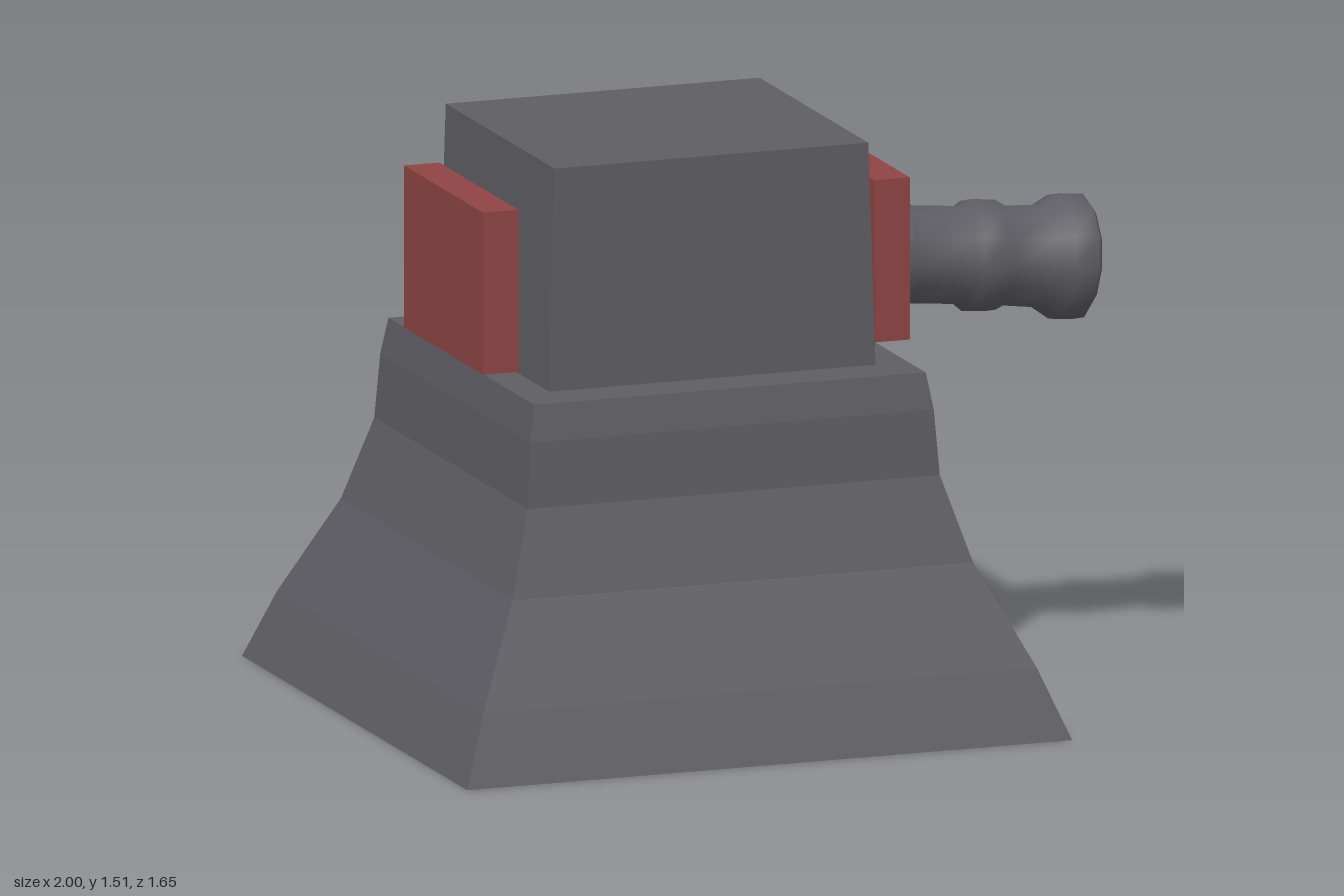
import * as THREE from 'three';

const grey = new THREE.MeshStandardMaterial({ color: 0x5d5d63 });
grey.name = 'stoneGrey';
const red = new THREE.MeshStandardMaterial({ color: 0x8e4444 });
red.name = 'dullRed';

const CENTRE_X = -0.175; // axis of the base and tower

// Flat-faced loft through rectangular sections [y, halfX, halfZ], capped at both ends
function rectLoft(sections) {
  const rings = sections.map(([y, a, b]) => [[-a, y, b], [a, y, b], [a, y, -b], [-a, y, -b]]);
  const pos = [];
  const quad = (a, b, c, d) => pos.push(...a, ...b, ...c, ...a, ...c, ...d);
  for (let i = 0; i < rings.length - 1; i++) {
    for (let k = 0; k < 4; k++) {
      const n = (k + 1) % 4;
      quad(rings[i][k], rings[i][n], rings[i + 1][n], rings[i + 1][k]);
    }
  }
  const top = rings[rings.length - 1];
  quad(top[0], top[1], top[2], top[3]);
  quad(rings[0][3], rings[0][2], rings[0][1], rings[0][0]);
  const geo = new THREE.BufferGeometry();
  geo.setAttribute('position', new THREE.Float32BufferAttribute(pos, 3));
  geo.computeVertexNormals();
  return geo;
}

export function createModel() {
  const model = new THREE.Group();
  model.name = 'cannonTurret';
  const add = (name, geo, mat, x, y, z = 0) => {
    const mesh = new THREE.Mesh(geo, mat);
    mesh.name = name;
    mesh.position.set(x, y, z);
    model.add(mesh);
    return mesh;
  };

  // Flared square pedestal
  const flare = [[0, 0.825], [0.18, 0.755], [0.44, 0.628], [0.66, 0.562], [0.83, 0.55], [0.925, 0.534]];
  add('pedestal', rectLoft(flare.map(([y, h]) => [y, h, h])), grey, CENTRE_X, 0);

  // Slightly tapered turret block
  add('turretBlock', rectLoft([[0.925, 0.445, 0.405], [1.507, 0.428, 0.398]]), grey, CENTRE_X, 0);

  // Side plates, standing clear of the block
  for (const [name, side] of [['leftPlate', 1], ['rightPlate', -1]]) {
    add(name, new THREE.BoxGeometry(0.096, 0.425, 0.58), red, CENTRE_X + side * 0.534, 1.168);
  }

  // Ringed barrel: [distance along the axis, radius]
  const profile = [
    [0, 0.125], [0.03, 0.127], [0.12, 0.127], [0.155, 0.133], [0.175, 0.147], [0.23, 0.147], [0.26, 0.128],
    [0.395, 0.128], [0.42, 0.146], [0.485, 0.146], [0.515, 0.13], [0.61, 0.134],
    [0.66, 0.164], [0.725, 0.164], [0.738, 0.145], [0.74, 0],
  ].map(([s, r]) => new THREE.Vector2(r, s));
  const barrel = add('barrel', new THREE.LatheGeometry(profile, 12), grey, 0.25, 1.132);
  barrel.rotation.z = -(Math.PI / 2 + 0.09);

  return model;
}
